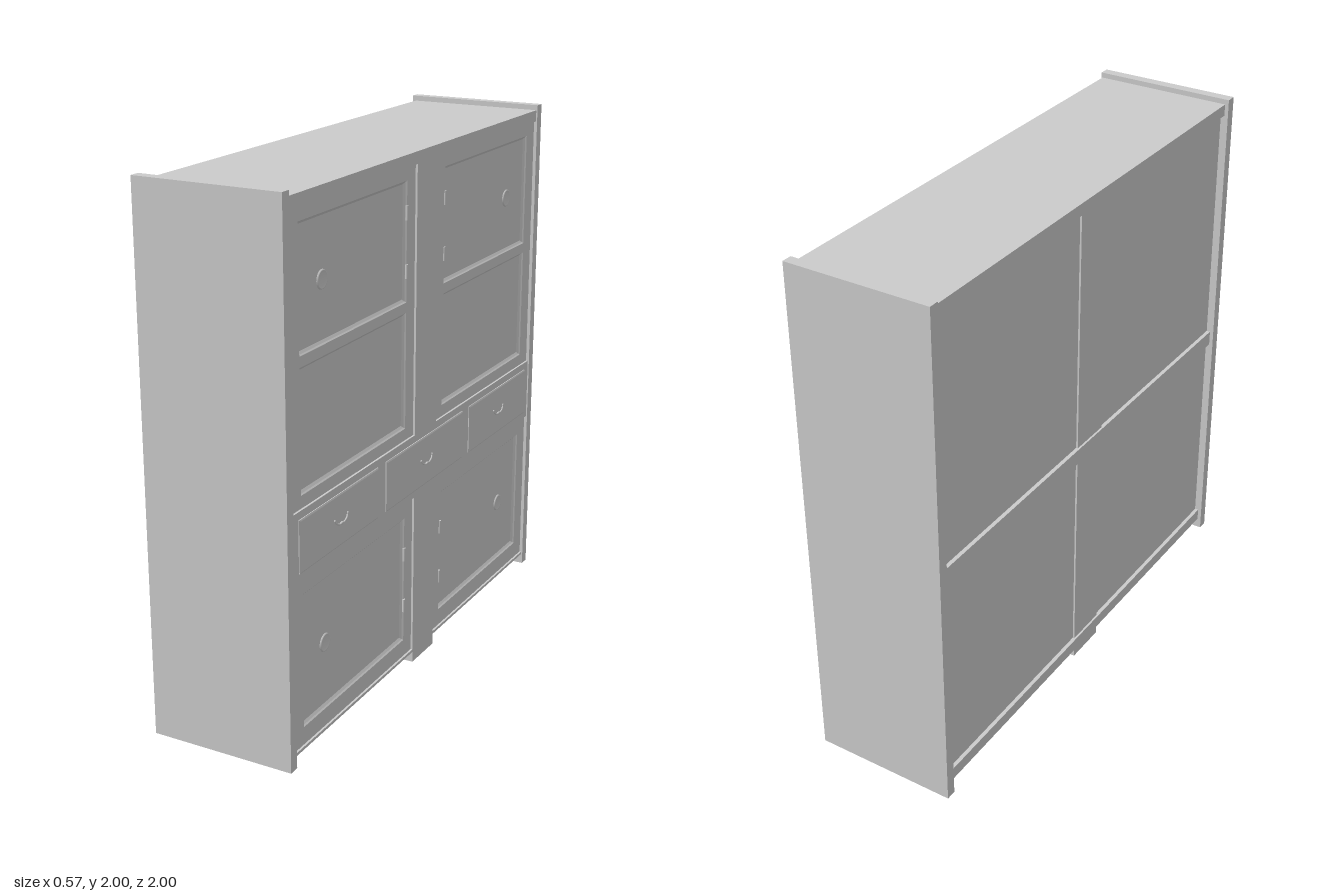
import * as THREE from 'three';

const material = new THREE.MeshStandardMaterial({ color: 0xcccccc, side: THREE.DoubleSide });

// The cabinet is built facing +z, then turned to face +x.
const PANEL = 0.25, DOOR = 0.262, FRAME = 0.27, BACK = -0.255;

function add(parent, name, geometry, x = 0, y = 0, z = 0) {
  const mesh = new THREE.Mesh(geometry, material);
  mesh.name = name;
  mesh.position.set(x, y, z);
  parent.add(mesh);
  return mesh;
}

// Box given by its limits on each axis
function slab(parent, name, x0, x1, y0, y1, z0, z1) {
  return add(parent, name, new THREE.BoxGeometry(x1 - x0, y1 - y0, z1 - z0),
    (x0 + x1) / 2, (y0 + y1) / 2, (z0 + z1) / 2);
}

function rectPath(path, x0, x1, y0, y1) {
  path.moveTo(x0, y0);
  path.lineTo(x1, y0);
  path.lineTo(x1, y1);
  path.lineTo(x0, y1);
  path.closePath();
  return path;
}

// Rectangular loops joined into a stepped moulding, closed by a flat panel
function mouldedPanel(x0, x1, y0, y1, profile) {
  const pos = [], index = [];
  for (const [inset, z] of profile) {
    pos.push(x0 + inset, y0 + inset, z, x1 - inset, y0 + inset, z,
      x1 - inset, y1 - inset, z, x0 + inset, y1 - inset, z);
  }
  for (let r = 0; r < profile.length - 1; r++) {
    for (let i = 0; i < 4; i++) {
      const a = r * 4 + i, b = r * 4 + (i + 1) % 4;
      index.push(a, b, b + 4, a, b + 4, a + 4);
    }
  }
  const c = (profile.length - 1) * 4;
  index.push(c, c + 1, c + 2, c, c + 2, c + 3);
  const geo = new THREE.BufferGeometry();
  geo.setAttribute('position', new THREE.Float32BufferAttribute(pos, 3));
  geo.setIndex(index);
  const flat = geo.toNonIndexed();
  flat.computeVertexNormals();
  return flat;
}

// Front board with openings, each filled by a sunk moulded panel
function panelledFront(parent, name, x0, x1, y0, y1, openings) {
  const shape = rectPath(new THREE.Shape(), x0, x1, y0, y1);
  for (const o of openings) shape.holes.push(rectPath(new THREE.Path(), ...o));
  add(parent, name + 'Frame',
    new THREE.ExtrudeGeometry(shape, { depth: DOOR - 0.245, bevelEnabled: false }), 0, 0, 0.245);
  for (const o of openings) {
    add(parent, name + 'Panel',
      mouldedPanel(...o, [[0, DOOR], [0.004, 0.257], [0.012, PANEL]]));
  }
}

// Shallow round finger pull
function fingerPull(parent, x, y) {
  const points = [[0, 0.001], [0.022, 0.0015], [0.029, 0.005], [0.032, 0.005], [0.034, 0]]
    .map(([r, h]) => new THREE.Vector2(r, h));
  add(parent, 'fingerPull', new THREE.LatheGeometry(points, 32).rotateX(Math.PI / 2), x, y, PANEL);
}

function hinge(parent, x, y) {
  add(parent, 'hinge', new THREE.CylinderGeometry(0.006, 0.006, 0.052, 12), x, y, DOOR);
}

// Hanging curved handle with two mounts and a small drop
function drawerHandle(parent, x) {
  const handle = new THREE.Group();
  handle.name = 'drawerHandle';
  handle.position.set(x, 0.815, 0.276);
  const curve = new THREE.CatmullRomCurve3([
    [-0.045, 0, 0], [-0.036, -0.012, 0.003], [-0.016, -0.021, 0.004],
    [0.016, -0.021, 0.004], [0.036, -0.012, 0.003], [0.045, 0, 0],
  ].map((p) => new THREE.Vector3(...p)));
  add(handle, 'bail', new THREE.TubeGeometry(curve, 24, 0.003, 8));
  for (const s of [-1, 1]) {
    add(handle, 'mount', new THREE.SphereGeometry(0.005, 12, 8), s * 0.045, 0, 0);
  }
  const drop = add(handle, 'drop', new THREE.SphereGeometry(0.005, 12, 8), 0, -0.021, 0.003);
  drop.scale.x = 2.4;
  parent.add(handle);
}

export function createModel() {
  const cabinet = new THREE.Group();
  cabinet.name = 'cabinet';

  // Carcass
  slab(cabinet, 'carcass', -0.96, 0.96, 0.045, 1.96, BACK, 0.248);
  slab(cabinet, 'topBoard', -0.96, 0.96, 1.935, 1.98, -FRAME, FRAME);
  slab(cabinet, 'bottomBoard', -0.96, 0.96, 0.042, 0.053, -FRAME, FRAME);

  // Front posts and rail, with the matching back frame
  slab(cabinet, 'drawerRail', -0.96, 0.96, 0.683, 0.93, 0.22, FRAME);
  slab(cabinet, 'frontPost', -0.087, 0.087, 0, 1.975, 0.22, FRAME);
  slab(cabinet, 'backPost', -0.087, 0.087, 0, 1.95, -0.262, -0.215);
  slab(cabinet, 'backMiddleRail', -0.96, 0.96, 0.93, 0.99, -FRAME, -0.22);
  slab(cabinet, 'backBottomRail', -0.96, 0.96, 0.042, 0.09, -FRAME, -0.22);

  // Each half: end board, panelled fronts, pulls and hinges
  for (const s of [-1, 1]) {
    const span = (a, b) => (s > 0 ? [a, b] : [-b, -a]);
    slab(cabinet, 'endBoard', ...span(0.96, 1), 0, 2, -0.285, 0.275);
    const door = span(0.15, 0.89);
    panelledFront(cabinet, 'upperDoor', ...span(0.08, 0.96), 0.925, 1.94,
      [[...door, 1.45, 1.887], [...door, 0.975, 1.412]]);
    panelledFront(cabinet, 'lowerDoor', ...span(0.08, 0.96), 0.05, 0.69,
      [[...door, 0.12, 0.62]]);
    for (const y of [0.367, 1.665]) fingerPull(cabinet, s * 0.725, y);
    for (const y of [0.265, 0.475, 1.563, 1.773]) hinge(cabinet, s * 0.15, y);
  }

  // Drawers
  for (const [x, half] of [[-0.65, 0.273], [0, 0.315], [0.65, 0.273]]) {
    add(cabinet, 'drawerFront', mouldedPanel(x - half, x + half, 0.71, 0.902,
      [[0, FRAME - 0.002], [0, 0.273], [0.005, 0.276]]));
    drawerHandle(cabinet, x);
  }

  cabinet.rotation.y = Math.PI / 2;
  const model = new THREE.Group();
  model.name = 'panelledCabinet';
  model.add(cabinet);
  return model;
}
